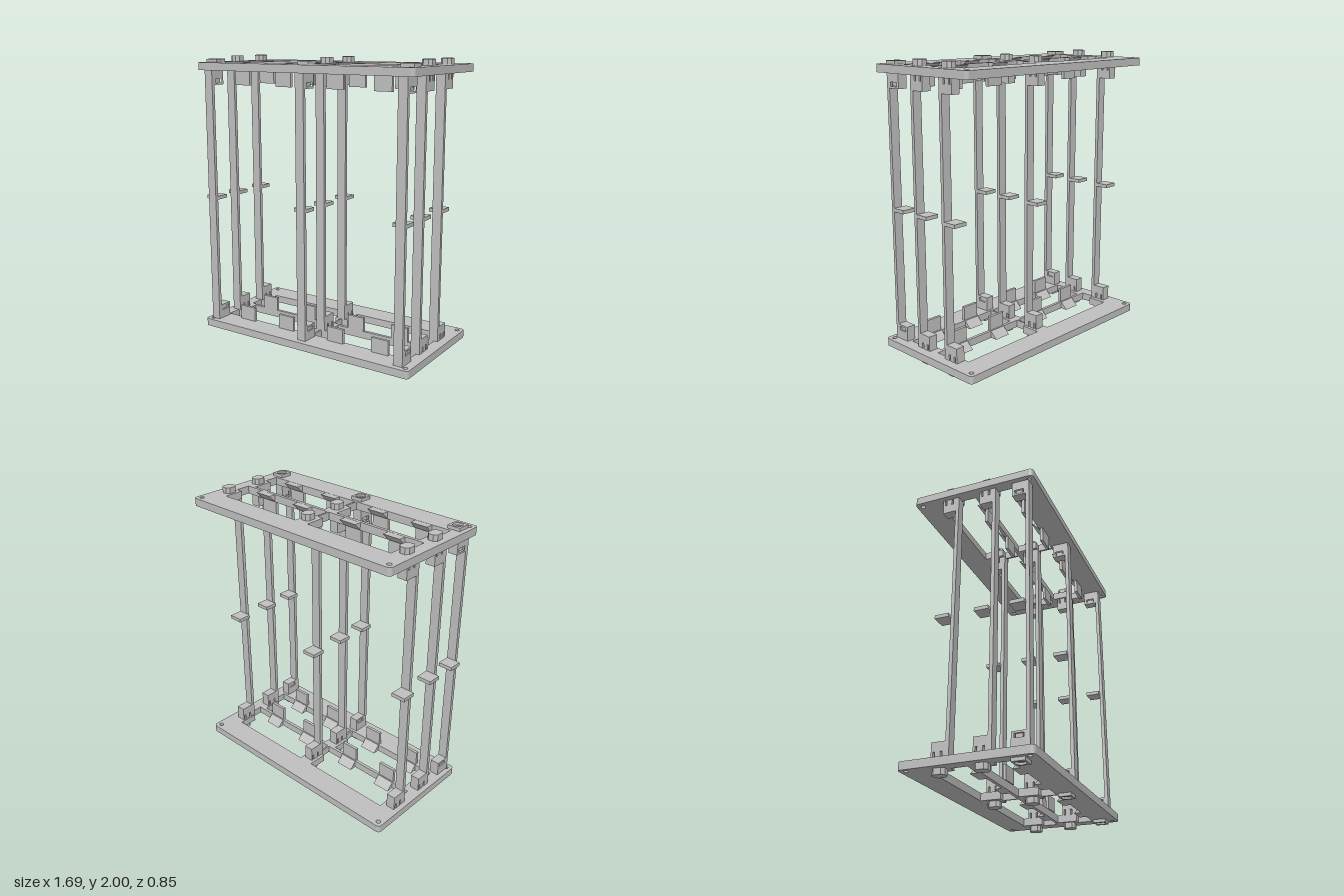
import * as THREE from 'three';

const gray = new THREE.MeshStandardMaterial({ color: 0xbfbfbf });
gray.name = 'light gray plastic';

const ROW = 0.267;                       // spacing between rows in z
const POST_X = [-0.778, -0.002, 0.752];  // post centres
const PIN_X = [-0.77, 0.008, 0.763];     // pins and screw pads
const FIN_X = [-0.56, -0.21, 0.205, 0.557];
const POST_W = 0.065;

const path = (pts, Type = THREE.Shape) => new Type(pts.map(p => new THREE.Vector2(p[0], p[1])));
const rect = (a0, a1, b0, b1) => [[a0, b0], [a1, b0], [a1, b1], [a0, b1]];
const circle = (x, y, r) => new THREE.Path().absarc(x, y, r, 0, Math.PI * 2, true);

function add(group, name, geometry) {
  const mesh = new THREE.Mesh(geometry, gray);
  mesh.name = name;
  group.add(mesh);
}

function box(group, name, x0, x1, y0, y1, z0, z1) {
  const g = new THREE.BoxGeometry(x1 - x0, Math.abs(y1 - y0), z1 - z0);
  add(group, name, g.translate((x0 + x1) / 2, (y0 + y1) / 2, (z0 + z1) / 2));
}

// Shape drawn in (x, z), filling y0..y1
function slab(shape, y0, y1) {
  const g = new THREE.ExtrudeGeometry(shape, { depth: Math.abs(y1 - y0), bevelEnabled: false, curveSegments: 6 });
  return g.rotateX(Math.PI / 2).translate(0, Math.max(y0, y1), 0);
}

// Shape drawn in (z, y), filling a width centred on x
function profile(shape, x, w) {
  const g = new THREE.ExtrudeGeometry(shape, { depth: w, bevelEnabled: false });
  return g.rotateY(-Math.PI / 2).translate(x + w / 2, 0, 0);
}

function plateShape() {
  const X = 0.845, Z = 0.427, r = 0.025;
  const s = new THREE.Shape();
  s.absarc(X - r, Z - r, r, 0, Math.PI / 2);
  s.absarc(-X + r, Z - r, r, Math.PI / 2, Math.PI);
  s.absarc(-X + r, -Z + r, r, Math.PI, Math.PI * 1.5);
  s.absarc(X - r, -Z + r, r, Math.PI * 1.5, Math.PI * 2);
  // stepped windows, two per row
  for (const z of [0, ROW]) {
    const a = -0.258 + z, b = -0.118 + z, c = -0.0135 + z;
    for (const [x0, x1, e0, e1] of [[-0.715, -0.055, -0.762, -0.009], [0.05, 0.71, 0.004, 0.758]])
      s.holes.push(path([[x0, a], [x1, a], [x1, b], [e1, b], [e1, c], [e0, c], [e0, b], [x0, b]], THREE.Path));
  }
  // corner and screw holes
  for (const x of [-0.806, 0.806]) for (const z of [-0.386, 0.386]) s.holes.push(circle(x, z, 0.016));
  for (const x of PIN_X) s.holes.push(circle(x, 0.315, 0.02));
  return s;
}

// One end plate with everything attached to it
function endFrame(top) {
  const g = new THREE.Group();
  g.name = top ? 'topFrame' : 'bottomFrame';
  const Y = v => (top ? 2 - v : v);
  const flip = pts => pts.map(([z, y]) => [z, Y(y)]);

  add(g, 'plate', slab(plateShape(), Y(0.04), Y(0.093)));

  // hanging fins with sloped ledges
  for (const z of [0, ROW]) for (const x of FIN_X) {
    box(g, 'fin', x - 0.064, x + 0.064, Y(0.093), Y(0.195), z - 0.005, z + 0.016);
    add(g, 'slopedLedge', profile(path(flip([[z - 0.065, 0.041], [z - 0.012, 0.041], [z - 0.012, 0.093]])), x, 0.128));
  }

  PIN_X.forEach((x, i) => {
    // screw pad with countersunk hole
    const pad = path(rect(x - 0.045, x + 0.045, 0.272, 0.36));
    pad.holes.push(circle(x, 0.315, 0.034));
    add(g, 'screwPad', slab(pad, Y(0.018), Y(0.04)));
    const sink = path(rect(x - 0.036, x + 0.036, 0.279, 0.351));
    sink.holes.push(circle(x, 0.315, 0.02));
    add(g, 'screwSeat', slab(sink, Y(0.032), Y(0.041)));

    // front corner block with nut slot
    const block = path(flip(rect(0.272, 0.366, 0.093, 0.195)));
    block.holes.push(path(flip(rect(0.29, 0.35, 0.155, 0.182)), THREE.Path));
    add(g, 'nutBlock', profile(block, POST_X[i], POST_W));
    box(g, 'nut', POST_X[i] - 0.025, POST_X[i] + 0.025, Y(0.157), Y(0.18), 0.297, 0.343);

    // snap pins and slotted blocks on the two rear rows
    for (const z of [-ROW, 0]) {
      const c = z + 0.083, w = 0.036, d = 0.043, k = 0.019;
      const head = path([[x - w, c - d + k], [x - w + k, c - d], [x + w - k, c - d], [x + w, c - d + k],
        [x + w, c + d - k], [x + w - k, c + d], [x - w + k, c + d], [x - w, c + d - k]]);
      add(g, 'pinHead', slab(head, Y(0), Y(0.041)));
      const s = [c - 0.03, c - 0.018, c + 0.018, c + 0.03];
      add(g, 'pinBlock', profile(path(flip([[z + 0.04, 0.093], [s[0], 0.093], [s[0], 0.135], [s[1], 0.135], [s[1], 0.093],
        [s[2], 0.093], [s[2], 0.135], [s[3], 0.135], [s[3], 0.093],
        [z + 0.132, 0.093], [z + 0.132, 0.195], [z + 0.04, 0.195]])), POST_X[i], POST_W));
    }
  });
  return g;
}

export function createModel() {
  const model = new THREE.Group();
  model.name = 'rackFrame';
  model.add(endFrame(false), endFrame(true));

  // flat posts, each with a small shelf at mid height
  for (const x of POST_X) for (const z of [0.364, 0.131, 0.131 - ROW]) {
    const post = new THREE.Group();
    post.name = 'post';
    const x0 = x - POST_W / 2, x1 = x + POST_W / 2;
    box(post, 'postStrip', x0, x1, 0.092, 1.908, z, z + 0.024);
    box(post, 'midTab', x0 - 0.035, x1, 0.99, 1.015, z - 0.093, z + 0.002);
    model.add(post);
  }
  return model;
}
